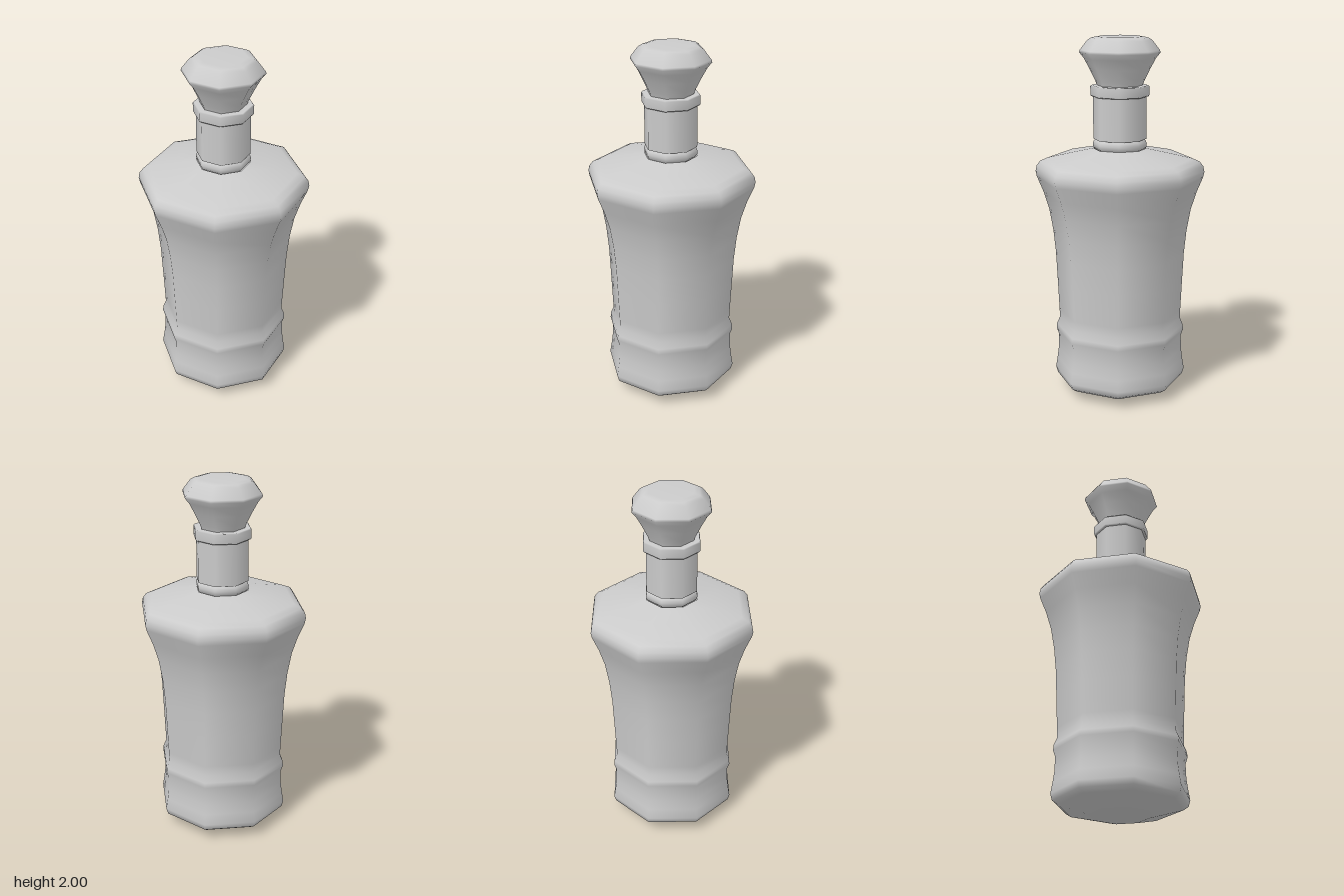
import * as THREE from 'three';

const SIDES = 8;

// Eight-sided turned part; profile runs bottom to top as [radius, height]
function turned(name, profile) {
  const points = profile.map(([r, y]) => new THREE.Vector2(r, y));
  const mesh = new THREE.Mesh(
    new THREE.LatheGeometry(points, SIDES),
    new THREE.MeshStandardMaterial({ color: 0xcccccc, side: THREE.DoubleSide })
  );
  mesh.name = name;
  return mesh;
}

export function createModel() {
  const group = new THREE.Group();
  group.name = 'decanter';

  // Body: tapered foot, raised band, flared wall and rounded shoulder
  group.add(turned('body', [
    [0, 0.005], [0.15, 0.005], [0.33, 0.055], [0.36, 0.075], [0.37, 0.11],
    [0.36, 0.17], [0.352, 0.23], [0.35, 0.31], [0.362, 0.345], [0.36, 0.375],
    [0.343, 0.415], [0.345, 0.47], [0.353, 0.65], [0.36, 0.8], [0.373, 0.93],
    [0.394, 1.05], [0.425, 1.15], [0.46, 1.235], [0.466, 1.265],
    [0.46, 1.295], [0.44, 1.322], [0.4, 1.34], [0.28, 1.367], [0.145, 1.395],
  ]));

  // Small bead where the neck meets the shoulder
  group.add(turned('neckBead', [
    [0.13, 1.385], [0.145, 1.4], [0.148, 1.42], [0.143, 1.437], [0.13, 1.45],
  ]));

  // Straight neck sleeve
  group.add(turned('neck', [[0.145, 1.447], [0.145, 1.69]]));

  // Flat collar with crisp top and bottom edges
  group.add(turned('collar', [
    [0.1, 1.68], [0.155, 1.68], [0.16, 1.686], [0.16, 1.734], [0.155, 1.74], [0, 1.74],
  ]));

  // Flared stopper with a bevelled crown
  group.add(turned('stopper', [
    [0.122, 1.735], [0.133, 1.765], [0.165, 1.83], [0.195, 1.885], [0.219, 1.915],
    [0.215, 1.928], [0.175, 1.98], [0.155, 1.993], [0.125, 2], [0, 2],
  ]));

  return group;
}
